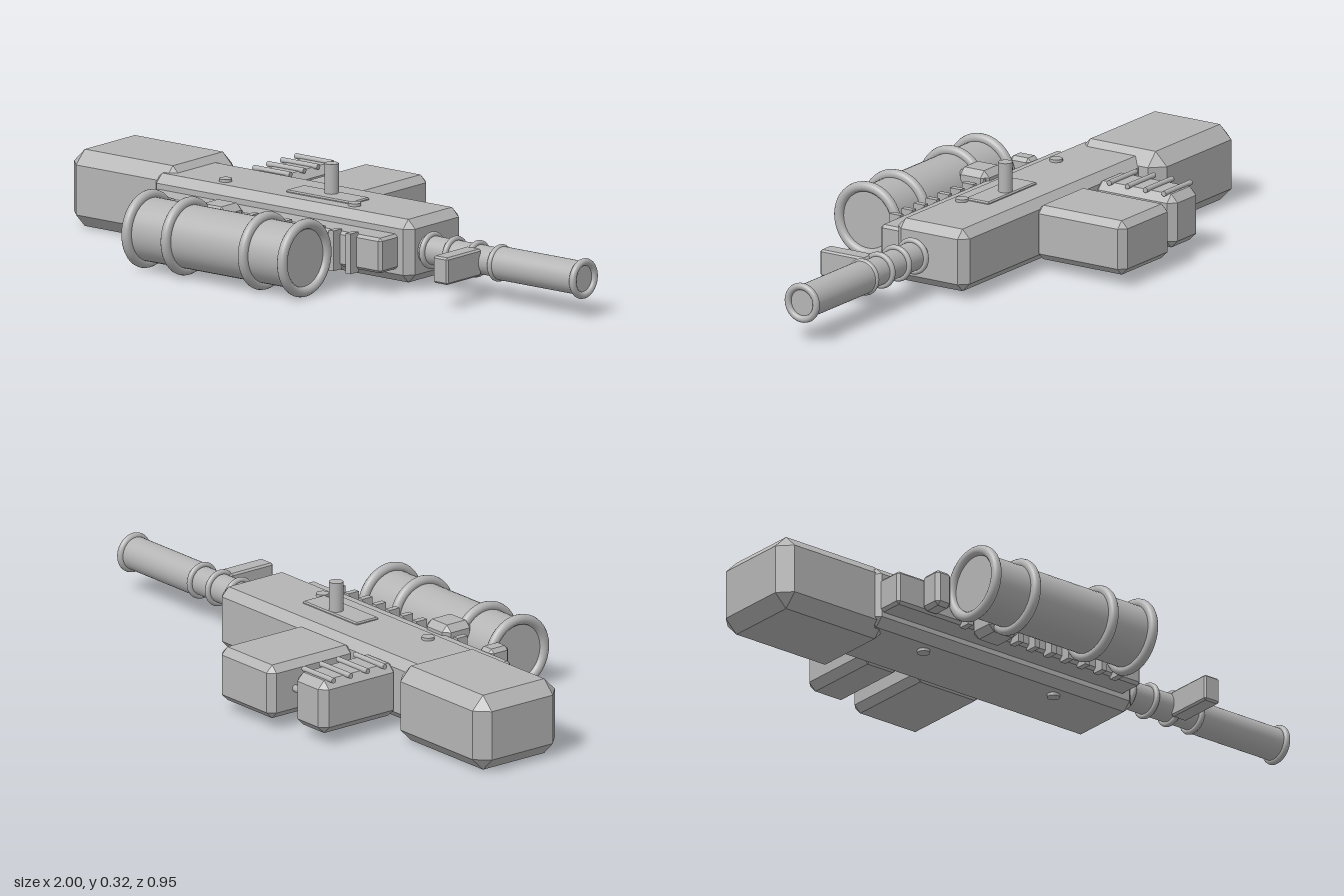
import * as THREE from 'three';
import { ConvexGeometry } from 'three/addons/geometries/ConvexGeometry.js';

export function createModel() {
  const group = new THREE.Group();
  const grey = new THREE.MeshStandardMaterial({ color: 0xb4b4b4 });
  grey.name = 'grey';

  const add = (name, geometry, x = 0, y = 0, z = 0) => {
    const mesh = new THREE.Mesh(geometry, grey);
    mesh.name = name;
    mesh.position.set(x, y, z);
    group.add(mesh);
    return mesh;
  };

  // Box with chamfered edges, given by its extents
  const block = (name, [x0, x1], [y0, y1], [z0, z1], c) => {
    const hx = (x1 - x0) / 2, hy = (y1 - y0) / 2, hz = (z1 - z0) / 2;
    const points = [];
    for (const i of [-1, 1]) for (const j of [-1, 1]) for (const k of [-1, 1]) {
      points.push(
        new THREE.Vector3(i * hx, j * (hy - c), k * (hz - c)),
        new THREE.Vector3(i * (hx - c), j * hy, k * (hz - c)),
        new THREE.Vector3(i * (hx - c), j * (hy - c), k * hz));
    }
    return add(name, new ConvexGeometry(points), (x0 + x1) / 2, (y0 + y1) / 2, (z0 + z1) / 2);
  };

  // Cylinder and ring lying along x
  const rod = (name, x0, x1, r, y, z) => {
    const g = new THREE.CylinderGeometry(r, r, x1 - x0, 40).rotateZ(Math.PI / 2);
    return add(name, g, (x0 + x1) / 2, y, z);
  };
  const ring = (name, x, r, tube, y, z) =>
    add(name, new THREE.TorusGeometry(r, tube, 14, 44).rotateY(Math.PI / 2), x, y, z);

  // Main blocks
  block('body', [-0.655, 0.372], [0.027, 0.225], [-0.157, 0.107], 0.027);
  block('stock', [-1, -0.568], [0.004, 0.245], [-0.233, 0.092], 0.042);
  block('magazine', [-0.282, -0.022], [0.038, 0.21], [-0.475, -0.14], 0.022);
  block('grip', [-0.49, -0.342], [0.038, 0.208], [-0.44, -0.138], 0.024);

  // Grip ridges
  for (const z of [-0.4, -0.332, -0.265, -0.198]) rod('gripRidge', -0.493, -0.348, 0.0085, 0.211, z);

  // Trigger and its guard
  const tube = (name, pts, r) => add(name, new THREE.TubeGeometry(
    new THREE.CatmullRomCurve3(pts.map(([x, z]) => new THREE.Vector3(x, 0.125, z))), 16, r, 10));
  tube('triggerGuard', [[-0.36, -0.365], [-0.335, -0.378], [-0.3, -0.382], [-0.27, -0.378]], 0.011);
  tube('trigger', [[-0.305, -0.14], [-0.298, -0.19], [-0.285, -0.23], [-0.275, -0.27]], 0.01);

  // Barrel with rings and side bracket
  const by = 0.125, bz = 0.022;
  rod('barrelSleeve', 0.34, 0.66, 0.045, by, bz);
  rod('barrel', 0.66, 0.988, 0.052, by, bz);
  for (const x of [0.392, 0.482, 0.572, 0.66]) ring('barrelRing', x, 0.049, 0.009, by, bz);
  ring('muzzleRing', 0.989, 0.052, 0.011, by, bz);
  block('barrelBracket', [0.553, 0.611], [0.082, 0.167], [0.05, 0.217], 0.006);

  // Side rail and its teeth
  block('sideRail', [-0.63, 0.325], [0.07, 0.18], [0.09, 0.19], 0.009);
  for (let i = 0; i < 10; i++) {
    add('railTooth', new THREE.BoxGeometry(0.02, 0.126, 0.04), -0.37 + i * 0.0656, 0.124, 0.2);
  }
  block('railStop', [-0.535, -0.475], [0.07, 0.188], [0.185, 0.262], 0.012);

  // Scope with rings and mount
  const sy = 0.125, sz = 0.35;
  rod('scope', -0.46, 0.155, 0.099, sy, sz);
  for (const x of [-0.46, -0.305, 0, 0.155]) ring('scopeRing', x, 0.106, 0.016, sy, sz);
  block('scopeMount', [-0.335, -0.222], [0.037, 0.21], [0.172, 0.285], 0.02);

  // Top plate, peg and screws
  block('topPlate', [-0.175, 0.087], [0.21, 0.232], [-0.05, 0.037], 0.004);
  add('topPeg', new THREE.CylinderGeometry(0.022, 0.022, 0.11, 28), -0.043, 0.27, -0.023);
  for (const x of [-0.41, 0.1]) for (const y of [0.026, 0.226]) {
    add('bodyScrew', new THREE.CylinderGeometry(0.02, 0.02, 0.016, 20), x, y, 0.04);
  }

  return group;
}
